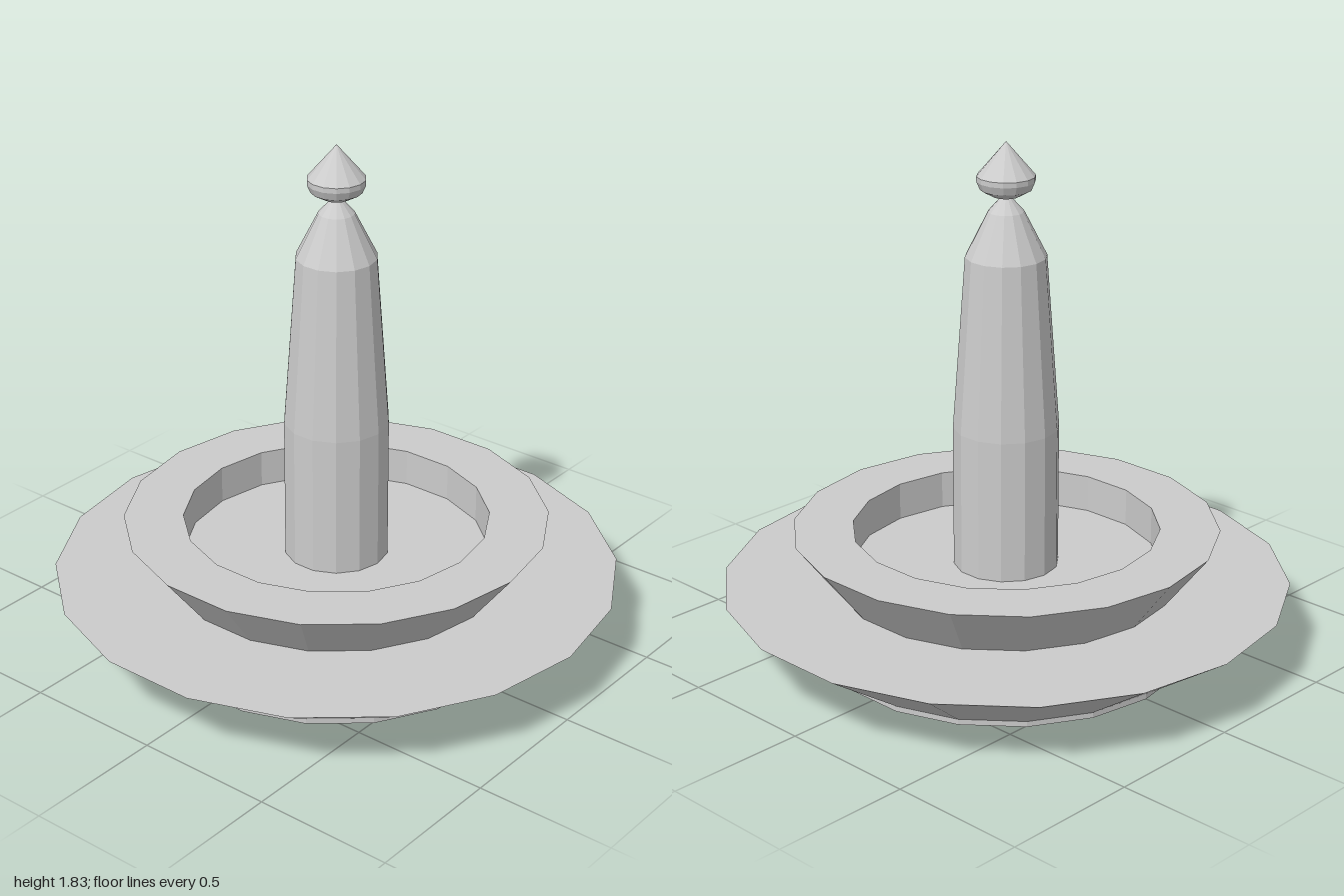
import * as THREE from 'three';

const material = new THREE.MeshStandardMaterial({ color: 0xcccccc, flatShading: true });

// Faceted turned part; profile runs bottom to top as [radius, y]
function turned(name, sides, profile) {
  const points = profile.map(([r, y]) => new THREE.Vector2(r, y));
  const mesh = new THREE.Mesh(new THREE.LatheGeometry(points, sides, Math.PI / 2), material);
  mesh.name = name;
  return mesh;
}

export function createModel() {
  const model = new THREE.Group();
  model.name = 'tieredPillar';

  // Wide flared dish on a thin foot
  model.add(turned('lowerTier', 18, [
    [0, 0], [0.66, 0], [0.66, 0.02], [1, 0.25], [0.6, 0.25],
  ]));

  // Smaller flared dish with a sunken floor
  model.add(turned('upperTier', 18, [
    [0.6, 0.25], [0.75, 0.445], [0.54, 0.445], [0.54, 0.31], [0, 0.31],
  ]));

  // Tapered column with a pointed shoulder
  model.add(turned('column', 14, [
    [0.185, 0.31], [0.185, 0.82], [0.14, 1.43], [0.062, 1.585], [0.02, 1.632], [0, 1.64],
  ]));

  // Rounded cup with a conical tip
  model.add(turned('finial', 14, [
    [0, 1.628], [0.045, 1.638], [0.088, 1.662], [0.1, 1.69], [0.1, 1.708], [0, 1.825],
  ]));

  return model;
}
